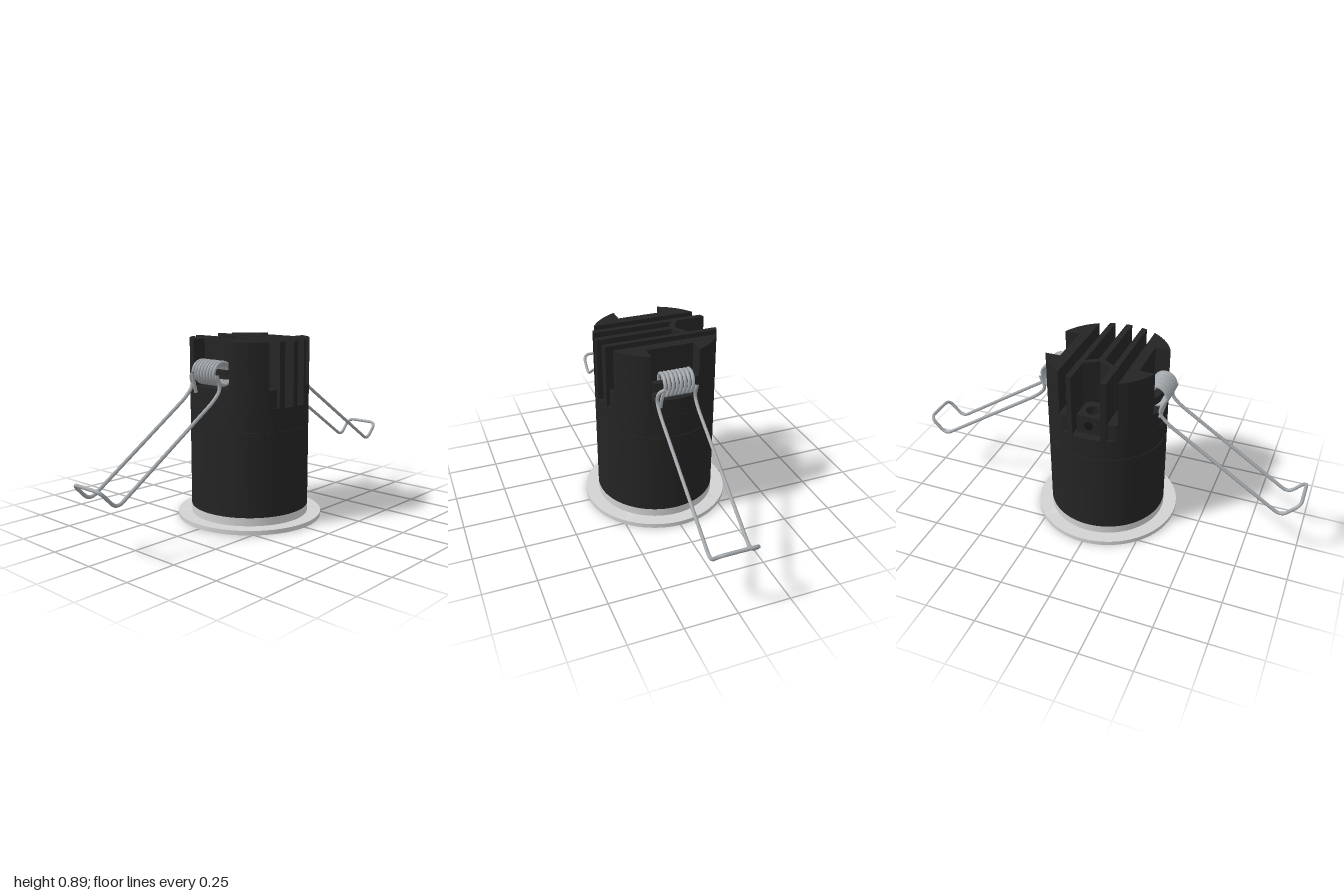
import * as THREE from 'three';
import { toCreasedNormals } from 'three/addons/utils/BufferGeometryUtils.js';

const R = 0.293;        // body radius
const FLOOR = 0.585;    // foot of the cooling fins
const TOP = 0.893;

const mat = (name, color) => {
  const m = new THREE.MeshStandardMaterial({ color });
  m.name = name;
  return m;
};

export function createModel() {
  const model = new THREE.Group();
  model.name = 'recessedDownlight';
  const black = mat('black', 0x242424);
  const dark = mat('deepBlack', 0x151515);
  const white = mat('trimWhite', 0xd2d2d2);
  const steel = mat('springSteel', 0xa2a7ab);

  const add = (name, geometry, material, parent = model) => {
    const mesh = new THREE.Mesh(geometry, material);
    mesh.name = name;
    parent.add(mesh);
    return mesh;
  };
  const lathe = (pts) => toCreasedNormals(
    new THREE.LatheGeometry(pts.map(p => new THREE.Vector2(...p)), 72), 0.5);

  // Extrudes a plan outline given as [x, z] from y0 up to y1
  const prism = (plan, y0, y1, hole) => {
    const shape = new THREE.Shape(plan.map(([x, z]) => new THREE.Vector2(x, -z)));
    if (hole) shape.holes.push(new THREE.Path().absarc(hole.x, -hole.z, hole.r, 0, Math.PI * 2, true));
    const g = new THREE.ExtrudeGeometry(shape, { depth: y1 - y0, bevelEnabled: false, curveSegments: 32 });
    g.rotateX(-Math.PI / 2).translate(0, y0, 0);
    return toCreasedNormals(g, 0.5);
  };

  // Slice of the round body between two x values, limited in z
  const slice = (x0, x1, zMin = -1, zMax = 1) => {
    const front = [], back = [], n = 8;
    for (let i = 0; i <= n; i++) {
      const x = x0 + (x1 - x0) * i / n;
      const z = Math.sqrt(Math.max(0, R * R - x * x));
      front.push([x, Math.min(z, zMax)]);
      back.unshift([x, Math.max(-z, zMin)]);
    }
    return [...front, ...back];
  };

  // Trim ring with conical reflector
  add('trimRing', lathe([
    [0.107, 0.1], [0.3, 0], [0.36, 0], [0.36, 0.022], [R, 0.022], [R, 0.062],
    [0.283, 0.062], [0.283, 0.03], [0.107, 0.11], [0.107, 0.1],
  ]), white);

  // Lamp recess and lens
  add('lampRecess', lathe([
    [0.085, 0.15], [0.107, 0.1], [0.113, 0.1], [0.113, 0.16], [0.085, 0.16], [0.085, 0.15],
  ]), black);
  add('lens', new THREE.CylinderGeometry(0.09, 0.09, 0.008, 48).translate(0, 0.155, 0), dark);

  // Hollow body shell with a fine seam
  add('bodyShell', lathe([
    [0.283, 0.062], [R, 0.062], [R, 0.473], [0.289, 0.473], [0.289, 0.479],
    [R, 0.479], [R, FLOOR], [0.283, FLOOR], [0.283, 0.062],
  ]), black);

  // Heat sink floor with a cable hole
  const cableHole = { x: 0, z: -0.19, r: 0.035 };
  const disc = Array.from({ length: 72 }, (_, i) => {
    const a = i / 72 * Math.PI * 2;
    return [0.284 * Math.cos(a), -0.284 * Math.sin(a)];
  });
  add('heatSinkFloor', prism(disc, 0.5, FLOOR, cableHole), black);

  // Central fins and the angled wall around the cable pocket
  add('middleFin', prism(slice(-0.015, 0.015, -0.085), FLOOR, TOP), black);
  add('pocketWall', prism([[-0.1, -0.13], [0, -0.07], [0.1, -0.13], [0.1, -0.16],
    [0, -0.1], [-0.1, -0.16]], FLOOR, TOP), black);

  // Cable block in the pocket
  add('cableBlock', prism([[-0.06, -0.25], [-0.06, -0.12], [0.06, -0.12], [0.06, -0.25]],
    FLOOR, 0.68, cableHole), black);
  add('cableBlockScrewHole', new THREE.CylinderGeometry(0.022, 0.022, 0.004, 24)
    .rotateX(Math.PI / 2).translate(0, 0.63, -0.251), dark);

  // Fins and side walls, mirrored left and right
  for (const s of [1, -1]) {
    const part = (name, a, b, y0, y1, zMin, zMax) =>
      add(name, prism(slice(Math.min(s * a, s * b), Math.max(s * a, s * b), zMin, zMax), y0, y1), black);
    part('innerFin', 0.07, 0.097, FLOOR, TOP);
    part('grooveBlock', 0.097, 0.145, FLOOR, 0.67, -0.26, 0.26);
    part('sideWall', 0.145, 0.195, FLOOR, TOP);
    part('springShelf', 0.19, R, FLOOR, 0.672, -0.116, 0.116);
    part('springBar', 0.25, 0.285, 0.722, 0.762, -0.116, 0.116);
    part('sideWallFront', 0.19, 0.2693, FLOOR, TOP, 0.115);
    part('sideWallBack', 0.19, 0.2693, FLOOR, TOP, -1, -0.115);
  }

  // Wire path through points with rounded corners
  const wirePath = (pts, radius) => {
    const v = pts.map(p => new THREE.Vector3(...p));
    const path = new THREE.CurvePath();
    let from = v[0];
    for (let i = 1; i < v.length - 1; i++) {
      const cut = (other) => {
        const d = other.clone().sub(v[i]);
        return d.setLength(Math.min(radius, d.length() * 0.45)).add(v[i]);
      };
      const a = cut(v[i - 1]), b = cut(v[i + 1]);
      path.add(new THREE.LineCurve3(from, a));
      path.add(new THREE.QuadraticBezierCurve3(a, v[i], b));
      from = b;
    }
    path.add(new THREE.LineCurve3(from, v[v.length - 1]));
    return path;
  };

  // Coil spring wound along z
  class Coil extends THREE.Curve {
    getPoint(t, target = new THREE.Vector3()) {
      const a = -t * Math.PI * 2 * 8;
      return target.set(0.265 + 0.052 * Math.cos(a), 0.745 + 0.052 * Math.sin(a), -0.085 + 0.155 * t);
    }
  }

  // Spring clips, one on each side
  const leg = (z) => [[0.292, 0.675, z], [0.34, 0.625, z], [0.91, 0.248, z], [0.992, 0.335, z]];
  const bail = wirePath([
    [0.317, 0.745, -0.085], ...leg(-0.085), ...leg(0.1).reverse(),
    [0.305, 0.725, 0.1], [0.317, 0.745, 0.07],
  ], 0.04);
  const stub = wirePath([[0.317, 0.745, 0.07], [0.305, 0.70, 0.081], [0.29, 0.645, 0.081]], 0.03);
  for (const side of ['left', 'right']) {
    const clip = new THREE.Group();
    clip.name = side + 'SpringClip';
    add('springCoil', new THREE.TubeGeometry(new Coil(), 320, 0.0085, 8), steel, clip);
    add('springBail', new THREE.TubeGeometry(bail, 260, 0.0085, 8), steel, clip);
    add('springEnd', new THREE.TubeGeometry(stub, 20, 0.0085, 8), steel, clip);
    if (side === 'right') clip.rotation.y = Math.PI;
    model.add(clip);
  }

  return model;
}
